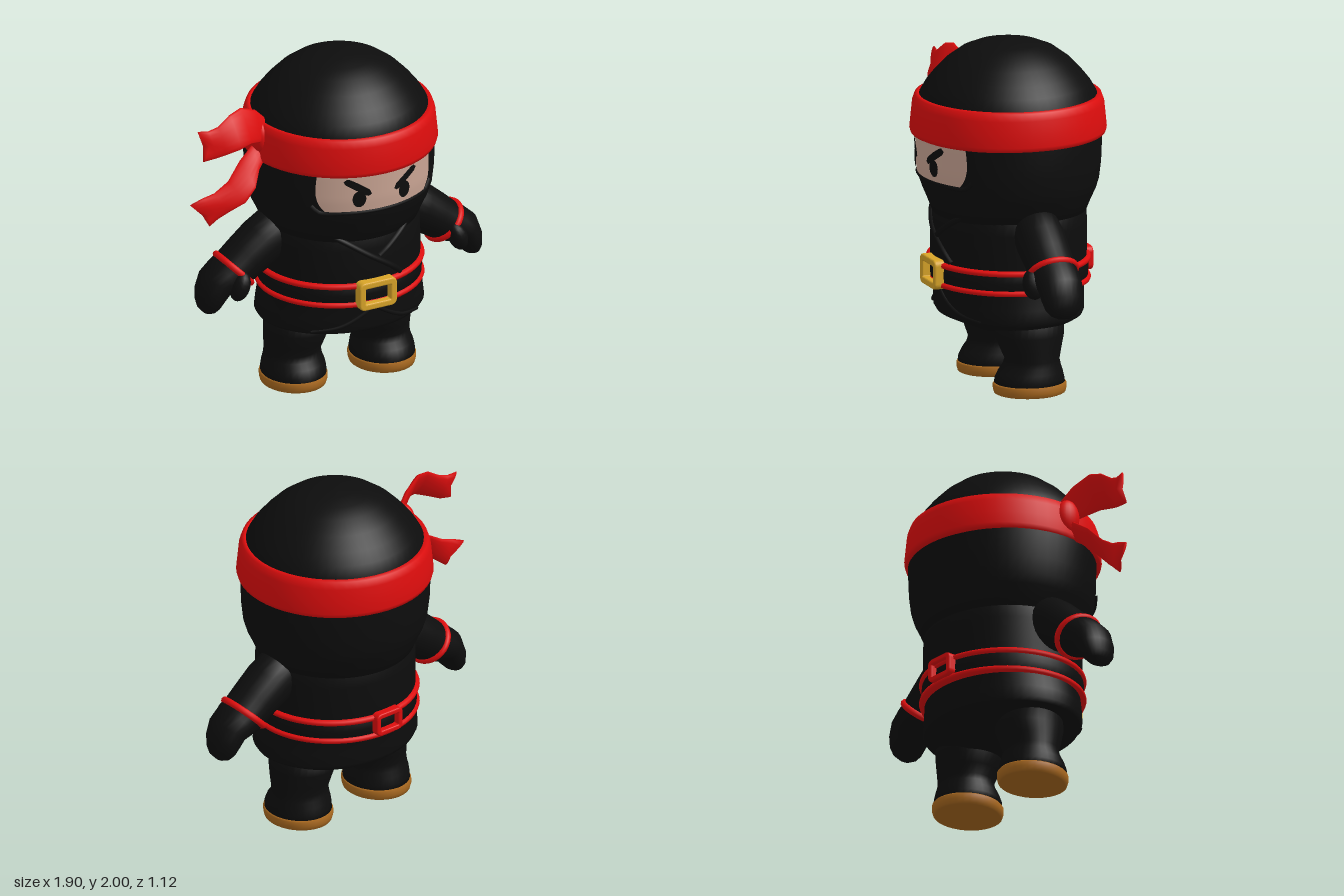
import * as THREE from 'three';

const mat = (name, color) => Object.assign(new THREE.MeshStandardMaterial({ color }), { name });
const V = (x, y, z) => new THREE.Vector3(x, y, z);
const AXIS_X = 0.045; // the figure's own centre line; the headband tails widen one side

// Skin a stack of closed rings, with both ends capped.
function loft(rings) {
  const n = rings[0].length, last = rings.length - 1, pos = [], idx = [];
  rings.forEach(r => r.forEach(p => pos.push(p.x, p.y, p.z)));
  for (let i = 0; i < last; i++) for (let j = 0; j < n; j++) {
    const a = i * n + j, b = i * n + (j + 1) % n;
    idx.push(a, b, b + n, a, b + n, a + n);
  }
  [0, last].forEach(i => {
    const c = rings[i].reduce((s, p) => s.add(p), V(0, 0, 0)).divideScalar(n);
    const k = pos.length / 3;
    pos.push(c.x, c.y, c.z);
    for (let j = 0; j < n; j++) {
      const a = i * n + j, b = i * n + (j + 1) % n;
      idx.push(k, ...(i ? [a, b] : [b, a]));
    }
  });
  const g = new THREE.BufferGeometry();
  g.setAttribute('position', new THREE.Float32BufferAttribute(pos, 3));
  g.setIndex(idx);
  g.computeVertexNormals();
  return g;
}

// Ring around centre c spanned by u and v (v x u points along the stack).
const ring = (c, u, v, n) => Array.from({ length: n }, (_, j) => {
  const a = j / n * Math.PI * 2;
  return c.clone().addScaledVector(u, Math.sin(a)).addScaledVector(v, Math.cos(a));
});

// Rows of [y, half width, front depth, back depth] become a rounded upright body.
const stack = (rows, n = 56) => loft(rows.map(([y, rx, f, b]) => Array.from({ length: n }, (_, j) => {
  const a = j / n * Math.PI * 2, c = Math.cos(a);
  return V(rx * Math.sin(a), y, c * (c > 0 ? f : b));
})));

// Depth of a stacked body's front surface at (x, y).
function frontZ(rows, x, y) {
  let i = 0;
  while (i < rows.length - 2 && rows[i + 1][0] < y) i++;
  const t = (y - rows[i][0]) / (rows[i + 1][0] - rows[i][0]);
  const at = k => THREE.MathUtils.lerp(rows[i][k], rows[i + 1][k], t);
  return at(2) * Math.sqrt(Math.max(0, 1 - (x / at(1)) ** 2));
}

const TORSO = [
  [0.33, 0.18, 0.18, 0.20], [0.36, 0.32, 0.24, 0.30], [0.40, 0.44, 0.34, 0.37], [0.425, 0.485, 0.395, 0.41],
  [0.45, 0.50, 0.41, 0.42], [0.52, 0.49, 0.415, 0.42], [0.60, 0.472, 0.415, 0.425], [0.68, 0.466, 0.435, 0.44],
  [0.80, 0.466, 0.44, 0.445], [0.95, 0.465, 0.435, 0.445], [1.05, 0.46, 0.42, 0.44], [1.12, 0.40, 0.38, 0.40],
];
const HOOD = [
  [0.99, 0.40, 0.39, 0.40], [1.01, 0.455, 0.43, 0.44], [1.08, 0.485, 0.457, 0.468], [1.14, 0.515, 0.482, 0.495],
  [1.20, 0.533, 0.503, 0.514], [1.30, 0.545, 0.513, 0.526], [1.46, 0.55, 0.515, 0.533], [1.60, 0.53, 0.52, 0.525],
  [1.69, 0.503, 0.503, 0.503], [1.75, 0.468, 0.468, 0.468], [1.81, 0.42, 0.42, 0.42], [1.88, 0.352, 0.352, 0.352],
  [1.94, 0.27, 0.27, 0.27], [1.975, 0.185, 0.185, 0.185], [1.993, 0.095, 0.095, 0.095], [2.0, 0.01, 0.01, 0.01],
];

export function createModel() {
  const cloth = mat('black cloth', 0x0d0d0d), red = mat('red cloth', 0xdd0d0d);
  const gold = mat('gold', 0xd8a428), sole = mat('brown sole', 0xa8681f);
  const skin = mat('skin', 0xcaa594);
  skin.side = THREE.FrontSide;

  const root = new THREE.Group();
  root.name = 'maskedFighter';
  const body = new THREE.Group();
  body.name = 'body';
  body.position.x = AXIS_X;
  root.add(body);
  const add = (name, geo, material, parent = body) => {
    const m = new THREE.Mesh(geo, material);
    m.name = name;
    parent.add(m);
    return m;
  };
  // Cord lying on a front surface, through [x, y] points.
  const seam = (name, rows, pts, r) => {
    const curve = new THREE.CatmullRomCurve3(pts.map(([x, y]) => V(x, y, frontZ(rows, x, y))));
    add(name, new THREE.TubeGeometry(curve, 28, r, 8), cloth);
  };

  add('jacket', stack(TORSO), cloth);
  add('hood', stack(HOOD), cloth);

  // Jacket lapels and lower flaps
  seam('lapel', TORSO, [[-0.32, 1.08], [-0.2, 1.02], [-0.05, 0.92], [0.1, 0.82], [0.17, 0.76]], 0.018);
  seam('lapel', TORSO, [[0.32, 1.08], [0.2, 1.02], [0.08, 0.94], [0.02, 0.9]], 0.018);
  for (const s of [-1, 1])
    seam('jacketFlap', TORSO, [[s * 0.34, 0.44], [s * 0.2, 0.47], [s * 0.08, 0.53], [-s * 0.02, 0.6]], 0.012);

  // Face opening, curved to the hood
  const face = new THREE.PlaneGeometry(2, 1, 32, 10), fp = face.attributes.position;
  for (let i = 0; i < fp.count; i++) {
    const v = fp.getY(i) + 0.5, u = fp.getX(i);
    const x = u * (0.378 - 0.06 * (1 - v) ** 4 - 0.02 * v), y = 1.238 + 0.237 * v;
    fp.setXYZ(i, x, y, frontZ(HOOD, x, y) + 0.007);
  }
  face.computeVertexNormals();
  add('face', face, skin);
  seam('maskEdge', HOOD, [-0.38, -0.34, -0.2, 0, 0.2, 0.34, 0.38].map(x => [x, 1.228 + (Math.abs(x) > 0.35 ? 0.04 : 0)]), 0.014);

  // Eyes and angry brows, wrapped onto the face
  const decal = (name, pts) => {
    const shape = new THREE.Shape(pts.map(([x, y]) => new THREE.Vector2(x, y)));
    const g = new THREE.ShapeGeometry(shape), p = g.attributes.position;
    for (let i = 0; i < p.count; i++) p.setZ(i, frontZ(HOOD, p.getX(i), p.getY(i)) + 0.014);
    g.computeVertexNormals();
    add(name, g, cloth);
  };
  for (const s of [-1, 1]) {
    decal('eye', Array.from({ length: 20 }, (_, i) => {
      const a = i / 20 * Math.PI * 2;
      return [s * 0.144 + 0.039 * Math.cos(a), 1.318 + 0.051 * Math.sin(a)];
    }));
    decal('brow', [[0.072, 1.345], [0.09, 1.332], [0.11, 1.34], [0.165, 1.375], [0.22, 1.41], [0.232, 1.43],
      [0.215, 1.447], [0.195, 1.443], [0.14, 1.41], [0.085, 1.372]].map(([x, y]) => [s * x, y]));
  }

  // Headband
  const band = [[0.49, 1.672], [0.51, 1.69], [0.53, 1.682], [0.545, 1.64], [0.553, 1.56], [0.56, 1.49],
    [0.553, 1.466], [0.535, 1.458], [0.50, 1.47]].reverse().map(([r, y]) => new THREE.Vector2(r, y));
  add('headband', new THREE.LatheGeometry(band, 56), red);

  // Knot and two forked tails: [top x, top y, bottom x, bottom y, z, tilt, fork depth]
  const knot = add('headbandKnot', new THREE.SphereGeometry(1, 20, 14), red, root);
  knot.scale.set(0.05, 0.1, 0.075);
  knot.position.set(-0.49, 1.6, 0.03);
  const tails = [
    [[-0.43, 1.69, -0.45, 1.57, 0.03, 0.02, 0], [-0.52, 1.78, -0.52, 1.60, 0.07, 0.03, 0],
      [-0.63, 1.828, -0.61, 1.64, 0.12, 0.05, 0], [-0.71, 1.81, -0.69, 1.63, 0.14, 0.05, 0],
      [-0.79, 1.757, -0.77, 1.60, 0.13, 0.03, 0], [-0.85, 1.738, -0.83, 1.577, 0.11, 0.02, 0.01],
      [-0.91, 1.745, -0.895, 1.568, 0.10, 0.02, 0.045]],
    [[-0.45, 1.60, -0.46, 1.48, 0.04, 0.02, 0], [-0.54, 1.55, -0.53, 1.435, 0.07, 0.04, 0],
      [-0.63, 1.49, -0.59, 1.36, 0.12, 0.06, 0], [-0.72, 1.395, -0.66, 1.29, 0.14, 0.05, 0],
      [-0.81, 1.34, -0.74, 1.235, 0.12, 0.03, 0], [-0.88, 1.32, -0.80, 1.19, 0.10, 0.02, 0.01],
      [-0.955, 1.29, -0.85, 1.15, 0.09, 0.02, 0.045]],
  ];
  for (const rows of tails) add('headbandTail', loft(rows.map(([tx, ty, bx, by, z, tilt, fork]) => {
    const c = V((tx + bx) / 2, (ty + by) / 2, z), u = V((tx - bx) / 2, (ty - by) / 2, -tilt);
    return ring(c, u, V(0, 0, 0.022), 16).map((p, j) => {
      p.x += fork * (1 - Math.abs(Math.sin(j / 8 * Math.PI)));
      return p;
    });
  })), red, root);

  // Belt with red edging
  const belt = (name, y0, y1, r, material) => add(name, stack([[y0, -0.025], [y0 + 0.006, -0.004], [(y0 + y1) / 2, 0],
    [y1 - 0.006, -0.004], [y1, -0.025]].map(([y, d]) => [y, r + d, r - 0.028 + d, r - 0.023 + d])), material);
  belt('belt', 0.61, 0.745, 0.476, cloth);
  belt('beltEdge', 0.602, 0.638, 0.49, red);
  belt('beltEdge', 0.716, 0.752, 0.49, red);

  // Buckles
  const roundRect = (P, w, h, r) => {
    const p = new P(), x = w / 2, y = h / 2;
    p.absarc(x - r, y - r, r, 0, Math.PI / 2);
    p.absarc(r - x, y - r, r, Math.PI / 2, Math.PI);
    p.absarc(r - x, r - y, r, Math.PI, Math.PI * 1.5);
    p.absarc(x - r, r - y, r, Math.PI * 1.5, Math.PI * 2);
    return p;
  };
  const buckle = (name, w, h, rim, z, y, material) => {
    const s = roundRect(THREE.Shape, w - 0.02, h - 0.02, 0.025);
    s.holes.push(roundRect(THREE.Path, w - 2 * rim + 0.02, h - 2 * rim + 0.02, 0.015));
    const g = new THREE.ExtrudeGeometry(s, { depth: 0.05, bevelSize: 0.01, bevelThickness: 0.01, bevelSegments: 3, curveSegments: 5 });
    g.translate(0, 0, -0.025);
    add(name, g, material).position.set(-0.008, y, z);
  };
  buckle('frontBuckle', 0.24, 0.172, 0.04, 0.453, 0.68, gold);
  buckle('backBuckle', 0.19, 0.14, 0.032, -0.453, 0.695, red);

  for (const s of [-1, 1]) {
    // Arm and mitten hand: [x, y, half thickness, half depth]
    const path = [[0.34, 1.0, 0.13, 0.12], [0.42, 0.965, 0.15, 0.14], [0.50, 0.92, 0.143, 0.145], [0.60, 0.85, 0.131, 0.14],
      [0.68, 0.79, 0.122, 0.138], [0.74, 0.76, 0.112, 0.135], [0.795, 0.725, 0.098, 0.13], [0.825, 0.665, 0.083, 0.122],
      [0.843, 0.61, 0.064, 0.105], [0.852, 0.575, 0.045, 0.075], [0.856, 0.555, 0.015, 0.03]];
    add('arm', loft(path.map(([x, y, r, rz], i) => {
      const a = path[Math.max(0, i - 1)], b = path[Math.min(path.length - 1, i + 1)];
      const d = V(s * (b[0] - a[0]), b[1] - a[1], 0).normalize();
      return ring(V(s * x, y, -0.01), d.cross(V(0, 0, 1)).multiplyScalar(r), V(0, 0, rz), 24);
    })), cloth);
    const thumb = add('thumb', new THREE.SphereGeometry(1, 16, 12), cloth);
    thumb.scale.set(0.055, 0.09, 0.065);
    thumb.position.set(s * 0.70, 0.735, 0.115);
    thumb.rotation.z = s * 0.35;
    const cuff = new THREE.TorusGeometry(0.122, 0.02, 10, 32).rotateY(Math.PI / 2).scale(1, 1, 1.1);
    const c = add('cuff', cuff, red);
    c.position.set(s * 0.675, 0.79, -0.01);
    c.rotation.z = -s * 0.77;

    // Leg, boot and sole: [y, half width, half depth, x shift, z]
    const leg = [[0.055, 0.184, 0.205, 0, -0.02], [0.09, 0.184, 0.2, 0, -0.02], [0.13, 0.178, 0.185, 0, -0.025],
      [0.165, 0.168, 0.165, 0, -0.033], [0.2, 0.165, 0.155, 0, -0.035], [0.26, 0.175, 0.175, -0.01, -0.03],
      [0.34, 0.188, 0.2, -0.025, -0.027], [0.5, 0.19, 0.2, -0.03, -0.025]];
    const rise = rows => loft(rows.map(([y, rx, rz, dx, z]) =>
      ring(V(s * (0.285 + dx), y, z), V(rx, 0, 0), V(0, 0, rz), 32)));
    add('leg', rise(leg), cloth);
    add('sole', rise([[0, 0.172, 0.192, 0, -0.021], [0.006, 0.184, 0.205, 0, -0.021], [0.03, 0.19, 0.212, 0, -0.021],
      [0.056, 0.19, 0.212, 0, -0.021], [0.066, 0.183, 0.204, 0, -0.021]]), sole);
  }
  return root;
}
